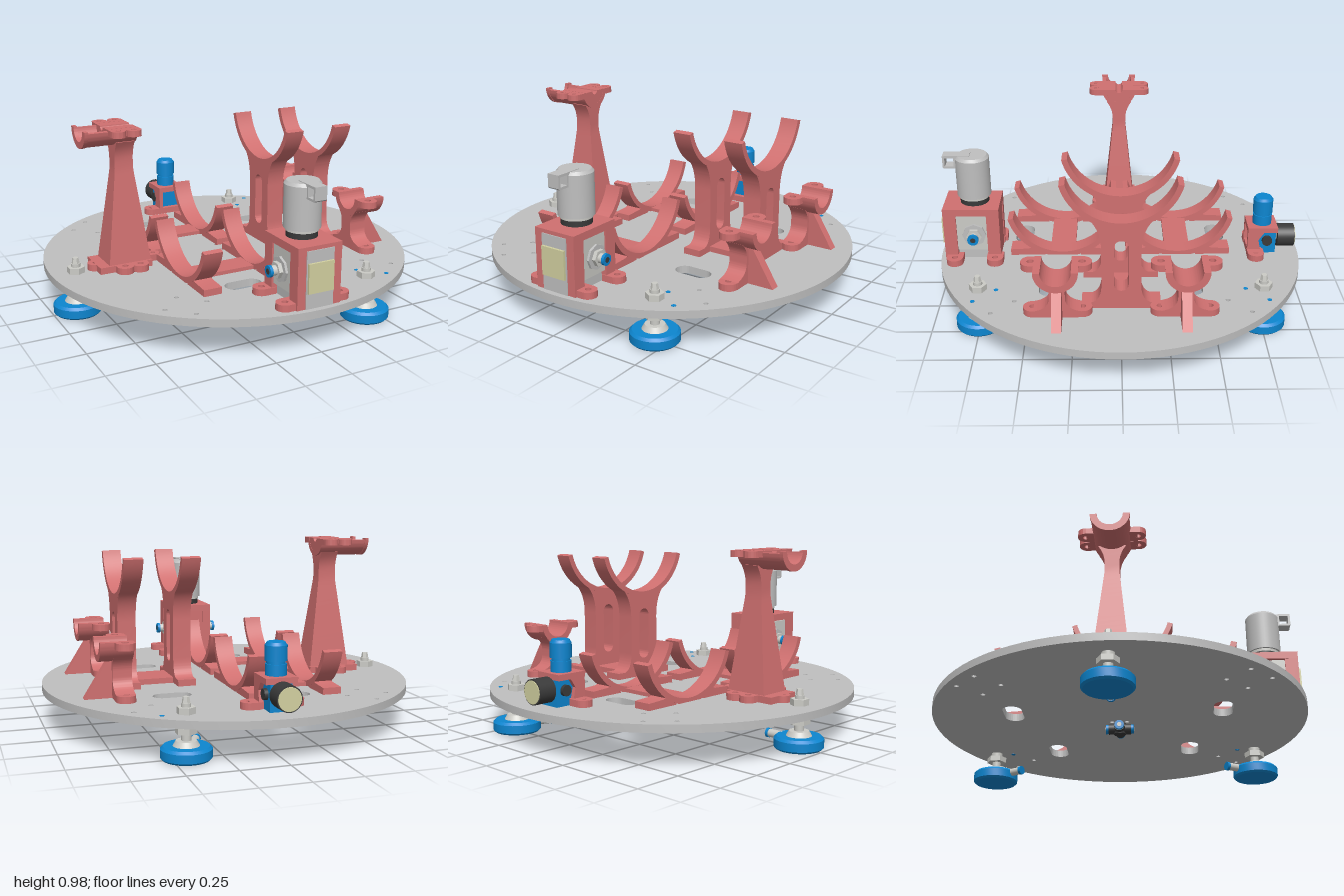
import * as THREE from 'three';
import { toCreasedNormals } from 'three/addons/utils/BufferGeometryUtils.js';

const PI = Math.PI;
const mat = (name, color) => Object.assign(new THREE.MeshStandardMaterial({ color }), { name });

export function createModel() {
  const grey = mat('plate grey', 0xbfbfbf), red = mat('bracket red', 0xd07070), blue = mat('blue', 0x0d86d0);
  const black = mat('black', 0x3a3a3a), cream = mat('cream', 0xd2d0a0), metal = mat('fitting metal', 0xcbcbc6);
  const root = new THREE.Group();
  const group = (name, x = 0, y = 0, z = 0) => {
    const g = new THREE.Group();
    g.name = name;
    g.position.set(x, y, z);
    root.add(g);
    return g;
  };
  const add = (p, name, geo, m) => {
    const mesh = new THREE.Mesh(geo, m);
    mesh.name = name;
    p.add(mesh);
    return mesh;
  };
  const extrude = (s, depth) => toCreasedNormals(new THREE.ExtrudeGeometry(s, { depth, bevelEnabled: false, curveSegments: 20 }), 0.5);
  // Side profile drawn in z and y, extruded from x0 to x1
  const along = (p, name, s, x0, x1, m = red) => add(p, name, extrude(s, x1 - x0).rotateY(PI / 2).translate(x0, 0, 0), m);
  // Plan outline drawn in x and z, extruded from y0 to y1
  const plan = (p, name, s, y0, y1, m = red) => add(p, name, extrude(s, y1 - y0).rotateX(-PI / 2).translate(0, y0, 0), m);
  const box = (p, name, x0, x1, y0, y1, z0, z1, m = red) => add(p, name,
    new THREE.BoxGeometry(x1 - x0, y1 - y0, z1 - z0).translate((x0 + x1) / 2, (y0 + y1) / 2, (z0 + z1) / 2), m);
  // Cylinder from a to b on one axis; c gives the two other coordinates in xyz order
  const rod = (p, name, axis, a, b, c, r, m, sides = 32, r2 = r) => {
    const g = new THREE.CylinderGeometry(r2, r, b - a, sides);
    if (sides < 9) { g.deleteAttribute('normal'); const n = g.toNonIndexed(); n.computeVertexNormals(); g.copy(n); }
    if (axis === 'x') g.rotateZ(-PI / 2).translate((a + b) / 2, c[0], c[1]);
    else if (axis === 'y') g.translate(c[0], (a + b) / 2, c[1]);
    else g.rotateX(PI / 2).translate(c[0], c[1], (a + b) / 2);
    return add(p, name, g, m);
  };
  const poly = pts => new THREE.Shape(pts.map(q => new THREE.Vector2(q[0], q[1])));
  const circle = (x, y, r) => new THREE.Path().absarc(x, y, r, 0, 2 * PI, false);
  const slot = (x, y, hx, r) => {
    const s = new THREE.Path();
    s.absarc(x + hx, y, r, -PI / 2, PI / 2, false).absarc(x - hx, y, r, PI / 2, 1.5 * PI, false);
    return s.closePath();
  };
  // Drilled round ear with a straight tail running back toward the part
  const ear = (p, x, y, z, r, tail, angle, h = 0.035) => {
    const s = new THREE.Shape();
    s.absarc(0, 0, r, -PI / 2, PI / 2, false).lineTo(-tail, r).lineTo(-tail, -r).closePath();
    s.holes.push(circle(0, 0, r * 0.36));
    const e = plan(p, 'ear', s, 0, h);
    e.position.set(x, y, z);
    e.rotation.y = angle;
  };
  const band = (cy, ri, ro, a) => {
    const s = new THREE.Shape();
    s.absarc(0, cy, ro, PI + a, 2 * PI - a, false).absarc(0, cy, ri, 2 * PI - a, PI + a, true);
    return s.closePath();
  };

  // Round base plate with slots and drilled holes
  const disc = new THREE.Shape().absarc(0, 0, 1, 0, 2 * PI, false);
  [[-0.18, 0.55], [-0.18, -0.55], [0.4, 0.38], [0.4, -0.38]].forEach(q => disc.holes.push(slot(q[0], q[1], 0.05, 0.05)));
  const plate = group('basePlate');
  for (const s of [1, -1]) {
    [[-0.55, 0.77], [-0.66, 0.66], [-0.44, 0.66], [-0.55, 0.55], [0.66, 0.66], [0.55, 0.55], [-0.03, 0.04]]
      .forEach(q => disc.holes.push(circle(q[0], q[1] * s, 0.012)));
    [[0.55, 0.765], [0.44, 0.655]].forEach(q => rod(plate, 'bluePin', 'y', 0.178, 0.222, [q[0], q[1] * s], 0.012, blue, 12));
  }
  const plateGeo = new THREE.ExtrudeGeometry(disc, { depth: 0.04, bevelEnabled: false, curveSegments: 48 });
  add(plate, 'plate', toCreasedNormals(plateGeo, 0.2).rotateX(-PI / 2).translate(0, 0.18, 0), grey);

  // Three levelling feet with inward fittings
  for (const [x, z] of [[-0.87, 0], [0.43, 0.75], [0.43, -0.75]]) {
    const f = group('foot', x, 0, z);
    f.rotation.y = Math.atan2(z, -x);
    const prof = [[0, 0], [0.115, 0], [0.125, 0.01], [0.125, 0.052], [0.112, 0.065], [0, 0.065]].map(q => new THREE.Vector2(...q));
    add(f, 'pad', toCreasedNormals(new THREE.LatheGeometry(prof, 40), 0.5), blue);
    rod(f, 'collar', 'y', 0.065, 0.09, [0, 0], 0.065, metal, 32, 0.05);
    rod(f, 'stem', 'y', 0.09, 0.27, [0, 0], 0.024, metal, 20);
    rod(f, 'lowerNut', 'y', 0.125, 0.155, [0, 0], 0.055, metal, 6);
    rod(f, 'washer', 'y', 0.155, 0.18, [0, 0], 0.032, metal);
    rod(f, 'upperNut', 'y', 0.22, 0.252, [0, 0], 0.047, metal, 6);
    rod(f, 'stemTop', 'y', 0.265, 0.3, [0, 0], 0.022, metal, 6, 0.016);
    rod(f, 'fitting', 'x', 0.1, 0.18, [0.045, 0], 0.021, metal, 20);
    rod(f, 'fittingRing', 'x', 0.18, 0.195, [0.045, 0], 0.024, blue, 20);
  }

  // Two low cradles, each with two curved ribs
  for (const z of [0.32, -0.32]) {
    const c = group('lowCradle', 0, 0, z);
    for (const x of [-0.43, -0.03]) {
      along(c, 'rib', band(0.52, 0.28, 0.31, 0.26), x, x + 0.1);
      for (const s of [1, -1]) along(c, 'ribFoot', poly([[0.1, 0.215], [0.29, 0.215], [0.29, 0.255], [0.19, 0.26], [0.15, 0.275], [0.1, 0.258]].map(q => [q[0] * s, q[1]])), x + 0.001, x + 0.099);
    }
    box(c, 'crossPlate', -0.33, -0.03, 0.22, 0.24, -0.07, 0.07);
  }

  // Tall cradle on slotted posts
  const tall = group('tallCradle');
  for (const x of [0.22, 0.52]) {
    along(tall, 'rib', band(0.985, 0.28, 0.31, 0.26), x, x + 0.1);
    const s = new THREE.Shape();
    s.moveTo(-0.2, 0.22).lineTo(0.2, 0.22).lineTo(0.2, 0.255).lineTo(0.15, 0.255);
    s.quadraticCurveTo(0.1, 0.27, 0.1, 0.36).lineTo(0.1, 0.56).quadraticCurveTo(0.1, 0.67, 0.165, 0.729);
    s.absarc(0, 0.985, 0.3, -0.98, -PI + 0.98, true);
    s.quadraticCurveTo(-0.1, 0.67, -0.1, 0.56).lineTo(-0.1, 0.36).quadraticCurveTo(-0.1, 0.27, -0.15, 0.255).lineTo(-0.2, 0.255).closePath();
    const h = new THREE.Path();
    h.absarc(0, 0.57, 0.037, 0, PI, false).absarc(0, 0.36, 0.037, PI, 2 * PI, false).closePath();
    s.holes.push(h);
    along(tall, 'post', s, x + 0.001, x + 0.099);
  }
  box(tall, 'crossPlate', 0.32, 0.52, 0.22, 0.25, -0.1, 0.1);

  // Pair of small saddles with sloping gussets
  for (const z of [0.32, -0.32]) {
    const c = group('smallSaddle', 0, 0, z);
    along(c, 'trough', band(0.515, 0.075, 0.11, 0), 0.6, 0.77);
    const s = new THREE.Shape();
    s.moveTo(-0.12, 0.22).lineTo(0.12, 0.22).lineTo(0.12, 0.255).quadraticCurveTo(0.04, 0.27, 0.04, 0.33).lineTo(0.04, 0.36);
    s.quadraticCurveTo(0.04, 0.4, 0.08, 0.437).lineTo(0, 0.418).lineTo(-0.08, 0.437).quadraticCurveTo(-0.04, 0.4, -0.04, 0.36);
    s.lineTo(-0.04, 0.33).quadraticCurveTo(-0.04, 0.27, -0.12, 0.255).closePath();
    along(c, 'column', s, 0.601, 0.7);
    add(c, 'gusset', extrude(poly([[0.69, 0.22], [0.84, 0.22], [0.715, 0.42], [0.69, 0.42]]), 0.05).translate(0, 0, -0.025), red);
    for (const d of [1, -1]) {
      ear(c, 0.65, 0.48, 0.127 * d, 0.049, 0.035, -d * PI / 2);
      ear(c, 0.65, 0.22, 0.125 * d, 0.049, 0.06, -d * PI / 2);
    }
  }

  // Tall saddle on a tapering column
  const ts = group('tallSaddle', -0.6, 0, 0);
  const col = new THREE.BoxGeometry(2, 0.68, 2, 1, 24, 1).translate(0, 0.56, 0);
  const pos = col.attributes.position;
  for (let i = 0; i < pos.count; i++) {
    const y = pos.getY(i), t = Math.max(0, (0.75 - y) / 0.53), u = Math.max(0, (y - 0.8) / 0.1);
    pos.setX(i, pos.getX(i) * (0.05 + 0.07 * t));
    pos.setZ(i, pos.getZ(i) * (0.037 + 0.055 * t + 0.035 * u * u));
  }
  add(ts, 'column', toCreasedNormals(col, 0.5), red);
  along(ts, 'trough', band(0.975, 0.075, 0.097, 0.1), -0.22, 0.06);
  along(ts, 'endLip', band(0.975, 0.065, 0.1, 0), -0.225, -0.205);
  along(ts, 'troughStep', band(0.975, 0.02, 0.08, 0), -0.1, 0.059);
  for (const d of [1, -1]) {
    box(ts, 'flange', -0.1, 0.06, 0.944, 0.974, d > 0 ? 0.074 : -0.13, d > 0 ? 0.13 : -0.074);
    for (const x of [-0.062, 0.022]) {
      ear(ts, x, 0.943, d * 0.135, 0.038, 0.05, -d * PI / 2, 0.032);
      ear(ts, x + 0.02, 0.22, d * 0.12, 0.045, 0.1, -d * PI / 2);
    }
  }
  box(ts, 'foot', -0.17, 0.12, 0.22, 0.255, -0.1, 0.1);
  ear(ts, 0.165, 0.22, 0, 0.035, 0.08, 0);
  ear(ts, -0.165, 0.22, 0, 0.04, 0.08, PI);

  // Valve unit in an open frame
  const v = group('valveUnit', 0, 0, 0.81);
  box(v, 'frameTop', -0.122, 0.122, 0.49, 0.53, -0.15, 0.155);
  box(v, 'valveBody', -0.09, 0.09, 0.22, 0.489, -0.11, 0.145, grey);
  box(v, 'frameBack', -0.08, 0.08, 0.22, 0.49, -0.145, -0.115);
  for (const s of [1, -1]) {
    for (const z of [-0.15, 0.085]) {
      box(v, 'framePost', s > 0 ? 0.076 : -0.121, s > 0 ? 0.121 : -0.076, 0.22, 0.49, z, z + 0.07);
      ear(v, s * 0.155, 0.22, z < 0 ? -0.12 : 0.1, 0.045, 0.06, s > 0 ? 0 : PI);
    }
    box(v, 'sidePlate', s > 0 ? 0.09 : -0.112, s > 0 ? 0.112 : -0.09, 0.28, 0.485, -0.1, 0.085, metal);
    const r = (n, a, b, rad, m, sides) => rod(v, n, 'x', Math.min(s * a, s * b), Math.max(s * a, s * b), [0.375, -0.01], rad, m, sides);
    r('portFlange', 0.11, 0.125, 0.065, grey, 8);
    r('portNut', 0.125, 0.145, 0.043, metal, 6);
    r('portSleeve', 0.145, 0.17, 0.025, metal);
    r('portRing', 0.17, 0.185, 0.03, blue);
    r('portBore', 0.18, 0.187, 0.014, black);
  }
  box(v, 'label', -0.07, 0.07, 0.3, 0.45, 0.145, 0.172, cream);
  box(v, 'frontPanel', -0.076, 0.076, 0.22, 0.51, 0.14, 0.16, grey);
  rod(v, 'neck', 'y', 0.53, 0.56, [0, -0.01], 0.078, black);
  rod(v, 'neckRing', 'y', 0.56, 0.58, [0, -0.01], 0.082, metal);
  rod(v, 'knob', 'y', 0.575, 0.79, [0, -0.01], 0.092, grey, 40);
  rod(v, 'knobTop', 'y', 0.79, 0.805, [0, -0.01], 0.092, grey, 40, 0.08);
  const loop = poly([[0, 0.735], [0, 0.808], [-0.145, 0.808], [-0.145, 0.742], [-0.138, 0.735]]);
  loop.holes.push(poly([[-0.085, 0.747], [-0.133, 0.747], [-0.133, 0.796], [-0.085, 0.796]]));
  along(v, 'handle', loop, -0.033, 0.033, grey);

  // Pressure regulator with knob and gauge
  const g = group('regulator', 0, 0, -0.8);
  box(g, 'bracketTop', -0.08, 0.08, 0.355, 0.385, -0.075, 0.09);
  box(g, 'bracketFoot', -0.12, 0.12, 0.22, 0.255, 0.01, 0.09);
  for (const s of [1, -1]) {
    along(g, 'bracketSide', poly([[-0.09, 0.22], [-0.01, 0.22], [-0.03, 0.31], [0, 0.356], [-0.09, 0.356]]), s * 0.068 - 0.011, s * 0.068 + 0.011);
    ear(g, s * 0.117, 0.22, 0.047, 0.045, 0.05, s > 0 ? 0 : PI);
    rod(g, 'port', 'x', s > 0 ? 0.05 : -0.075, s > 0 ? 0.075 : -0.05, [0.3, -0.02], 0.028, black);
  }
  box(g, 'body', -0.056, 0.056, 0.22, 0.36, -0.07, 0.06, blue);
  rod(g, 'knobBase', 'y', 0.385, 0.44, [0, 0.005], 0.052, blue);
  rod(g, 'knobWaist', 'y', 0.44, 0.455, [0, 0.005], 0.046, blue);
  rod(g, 'knob', 'y', 0.455, 0.53, [0, 0.005], 0.055, blue, 16);
  rod(g, 'knobCap', 'y', 0.53, 0.545, [0, 0.005], 0.052, blue, 32, 0.044);
  rod(g, 'gaugeStem', 'z', -0.09, -0.06, [0, 0.3], 0.025, metal);
  rod(g, 'gauge', 'z', -0.175, -0.08, [0, 0.305], 0.064, black, 40);
  rod(g, 'gaugeFace', 'z', -0.179, -0.174, [0, 0.305], 0.058, cream, 40);

  // Cross connector below the plate
  const c = group('crossConnector');
  rod(c, 'hub', 'y', 0.12, 0.18, [0, 0], 0.032, black);
  for (let i = 0; i < 4; i++) {
    const arm = new THREE.Group();
    arm.name = 'connectorArm';
    arm.rotation.y = i * PI / 2;
    c.add(arm);
    rod(arm, 'sleeve', 'x', 0.015, 0.06, [0.15, 0], 0.028, black);
    rod(arm, 'ring', 'x', 0.06, 0.075, [0.15, 0], 0.025, blue);
    rod(arm, 'bore', 'x', 0.07, 0.077, [0.15, 0], 0.012, metal);
  }
  return root;
}
